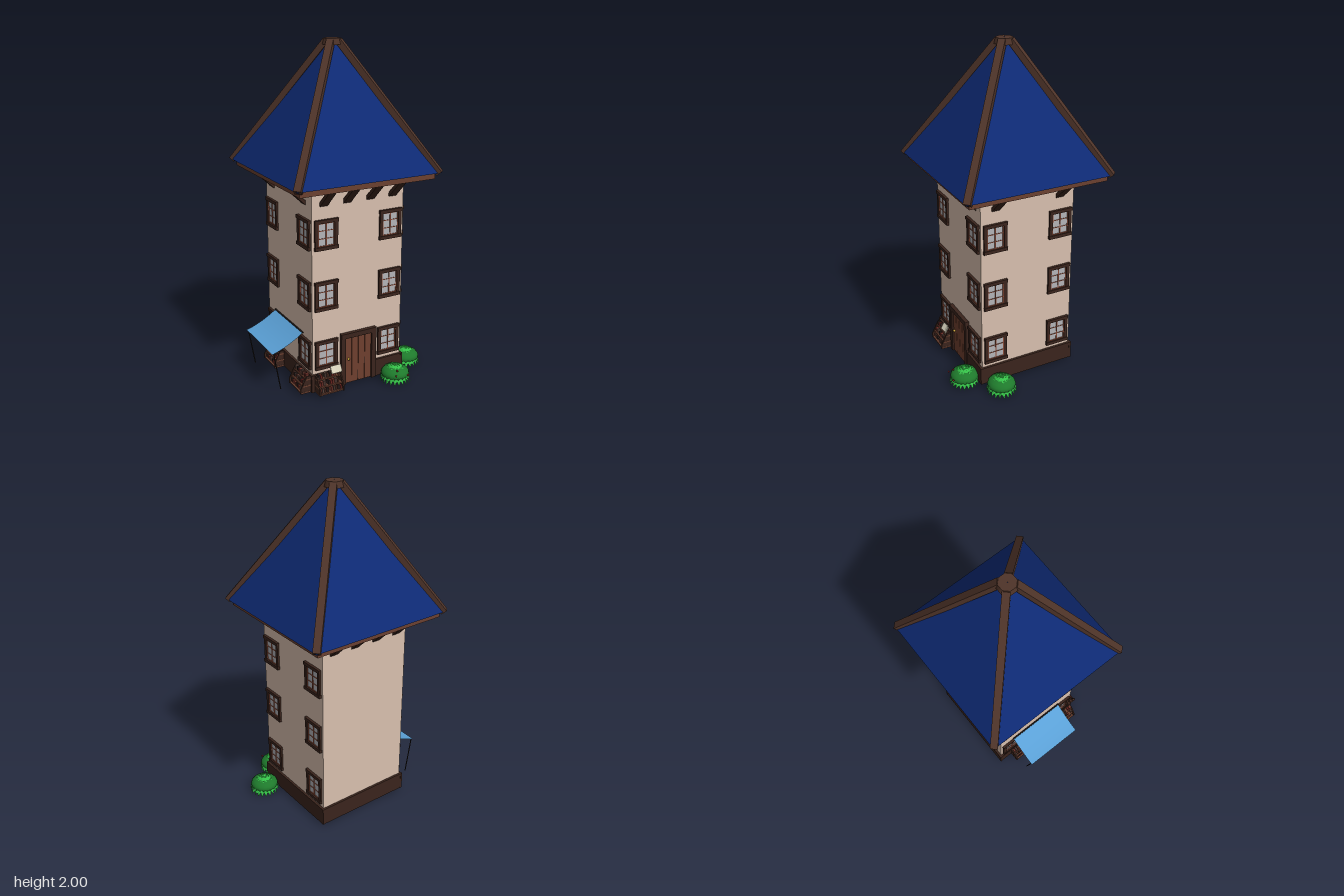
import * as THREE from 'three';
import { mergeGeometries } from 'three/addons/utils/BufferGeometryUtils.js';

const paint = (color, opts = {}) => {
  const m = new THREE.MeshStandardMaterial({ ...opts });
  m.color.set(color);
  return m;
};
const M = {
  wall: paint(0xd8bfae, { flatShading: true, side: THREE.DoubleSide }),
  roof: paint(0x0e2a74, { flatShading: true, side: THREE.DoubleSide }),
  beam: paint(0x4f3429), dark: paint(0x3a241c), fascia: paint(0x6b4030),
  door: paint(0x6e3f2e), glass: paint(0xb4b4b8), sash: paint(0x8a4a36),
  gold: paint(0xc9a13a), cloth: paint(0x5aa0d6, { side: THREE.DoubleSide }),
  leaf: paint(0x35c048, { flatShading: true, side: THREE.DoubleSide }),
  bushCore: paint(0x1f7a2c), black: paint(0x201a18), cream: paint(0xd9d3bd), red: paint(0xa02828),
};
const BOOKS = [0x6b2420, 0x4a2a22, 0x7a3a30, 0x2e2220, 0x57413a].map((c) => paint(c));
const R = 0.297; // half width of the tower
const CX = -0.002, CZ = -0.0105;

function add(parent, name, geo, mat, x = 0, y = 0, z = 0) {
  const mesh = new THREE.Mesh(geo, mat);
  mesh.name = name;
  mesh.position.set(x, y, z);
  parent.add(mesh);
  return mesh;
}
const box = (p, name, mat, w, h, d, x, y, z) => add(p, name, new THREE.BoxGeometry(w, h, d), mat, x, y, z);
function group(parent, name, x = 0, y = 0, z = 0) {
  const g = new THREE.Group();
  g.name = name;
  g.position.set(x, y, z);
  parent.add(g);
  return g;
}
// Round or square bar between two points
function bar(parent, name, mat, a, b, r, sides = 6) {
  const dir = b.clone().sub(a);
  const m = add(parent, name, new THREE.CylinderGeometry(r, r, dir.length(), sides), mat);
  m.position.copy(a).add(b).multiplyScalar(0.5);
  m.quaternion.setFromUnitVectors(new THREE.Vector3(0, 1, 0), dir.normalize());
  return m;
}
const V = (x, y, z) => new THREE.Vector3(x, y, z);

function addWindow(face, x, y) {
  const g = group(face, 'window', x, y, R);
  for (const s of [-1, 1]) {
    box(g, 'windowJamb', M.dark, 0.02, 0.165, 0.018, s * 0.062, 0, 0.003);
    box(g, 'windowRail', M.dark, 0.148, 0.02, 0.024, 0, s * 0.078, 0.004);
    box(g, 'sashSide', M.sash, 0.006, 0.138, 0.01, s * 0.05, 0, 0.002);
    box(g, 'sashRail', M.sash, 0.104, 0.006, 0.01, 0, s * 0.066, 0.002);
    box(g, 'glazingBar', M.sash, 0.1, 0.004, 0.008, 0, s * 0.023, 0.002);
  }
  box(g, 'mullion', M.sash, 0.006, 0.136, 0.01, 0, 0, 0.002);
  box(g, 'glass', M.glass, 0.106, 0.138, 0.006, 0, 0, 0);
}

// Diagonal strut from wall to eave
function addBracket(face, x) {
  const b = box(face, 'eaveBracket', M.dark, 0.048, 0.145, 0.02, x, 1.185, R + 0.048);
  b.rotation.x = Math.atan2(0.1, 0.095);
}

function addDoor(face) {
  const g = group(face, 'door', 0, 0, R);
  for (const s of [-1, 1]) box(g, 'doorJamb', M.dark, 0.03, 0.325, 0.026, s * 0.103, 0.178, 0.008);
  box(g, 'doorLintel', M.dark, 0.236, 0.03, 0.03, 0, 0.327, 0.009);
  box(g, 'doorBacking', M.black, 0.178, 0.298, 0.01, 0, 0.165, 0.002);
  for (let i = 0; i < 4; i++) box(g, 'doorPlank', M.door, 0.041, 0.292, 0.014, (i - 1.5) * 0.044, 0.165, 0.004);
  add(g, 'doorKnob', new THREE.SphereGeometry(0.008, 10, 8), M.gold, -0.068, 0.175, 0.016);
}

// Stepped stall with rows of books
function addBookStand(face, x, seed) {
  const g = group(face, 'bookStand', x, 0.018, R + 0.01);
  const side = new THREE.Shape([[0, 0], [0.068, 0], [0.068, 0.03], [0.03, 0.105], [0, 0.105]].map((p) => new THREE.Vector2(...p)));
  const sideGeo = new THREE.ExtrudeGeometry(side, { depth: 0.008, bevelEnabled: false });
  for (const s of [-0.08, 0.072]) add(g, 'standSide', sideGeo, M.dark, s + 0.008, 0, 0).rotation.y = -Math.PI / 2;
  box(g, 'standBack', M.dark, 0.15, 0.1, 0.006, 0, 0.05, 0.003);
  [0.066, 0.054, 0.036].forEach((d, row) => {
    const y = 0.006 + row * 0.04;
    box(g, 'standShelf', M.fascia, 0.162, 0.008, d, 0, y, d / 2);
    for (let i = 0; i < 10; i++) {
      const k = (i * 7 + row * 3 + seed) % 5;
      if ((i + row + seed) % 6 === 0) continue;
      const h = 0.02 + k * 0.002;
      box(g, 'book', BOOKS[k], 0.011, h, d * 0.6, -0.066 + i * 0.0145, y + 0.004 + h / 2, d * 0.55);
    }
  });
  return g;
}

function addAwning(face) {
  const g = group(face, 'awning', -0.005, 0, 0);
  const geo = new THREE.PlaneGeometry(0.38, 1, 1, 8);
  const p = geo.attributes.position;
  for (let i = 0; i < p.count; i++) {
    const t = 0.5 - p.getY(i);
    p.setXYZ(i, p.getX(i), 0.345 - 0.095 * t - 0.045 * t * (1 - t), R + 0.004 + 0.197 * t);
  }
  geo.computeVertexNormals();
  add(g, 'awningCloth', geo, M.cloth);
  bar(g, 'awningRod', M.black, V(-0.19, 0.346, R + 0.005), V(0.19, 0.346, R + 0.005), 0.005);
  for (const s of [-0.186, 0.186]) bar(g, 'awningPole', M.black, V(s, 0.018, 0.448), V(s, 0.25, 0.488), 0.0035);
}

// Domed bush covered with overlapping pointed leaves
function addBush(parent, x, z, turn) {
  const g = group(parent, 'bush', x, 0, z);
  g.rotation.y = turn;
  const core = add(g, 'bushCore', new THREE.SphereGeometry(0.085, 16, 10), M.bushCore, 0, 0.05, 0);
  core.scale.y = 0.55;
  const leaves = [];
  for (let row = 0; row < 7; row++) {
    const a = row * 0.25 + 0.06; // angle from the crown
    const n = Math.max(4, Math.round(22 * Math.sin(a)));
    for (let i = 0; i < n; i++) {
      const leaf = new THREE.ConeGeometry(0.017, 0.042, 4);
      leaf.scale(1, 1, 0.3);
      leaf.rotateX(Math.PI / 2 + a * 0.6 + 0.1 + 0.08 * ((i * 5 + row) % 3));
      leaf.translate(0, 0.02 + 0.078 * Math.cos(a), 0.083 * Math.sin(a));
      leaf.rotateY(((i + (row % 2) * 0.5) / n) * Math.PI * 2);
      leaves.push(leaf);
    }
  }
  add(g, 'bushLeaves', mergeGeometries(leaves), M.leaf);
}

export function createModel() {
  const model = new THREE.Group();
  model.name = 'towerHouse';

  // Walls: square tube, open below
  const tower = group(model, 'tower', CX, 0, CZ);
  add(tower, 'walls', new THREE.CylinderGeometry(R * Math.SQRT2, R * Math.SQRT2, 1.22, 4, 1, true), M.wall, 0, 0.63, 0)
    .rotation.y = Math.PI / 4;

  // Four sides in the order front, left (+x), back, right (-x)
  const faces = ['front', 'left', 'back', 'right'].map((n, i) => {
    const f = group(tower, n + 'Side');
    f.rotation.y = i * Math.PI / 2;
    return f;
  });
  faces.forEach((f, i) => {
    const spots = i % 2 ? [-0.204, 0.204] : [-0.222, -0.075, 0.075, 0.222];
    spots.forEach((x) => addBracket(f, x));
    if (i !== 2) for (const y of [0.238, 0.602, 0.965]) for (const s of [-1, 1]) addWindow(f, s * 0.209, y);
    // Plinth, broken at the front by the door
    if (i) box(f, 'plinth', M.dark, 0.624, 0.108, 0.014, 0, 0.07, R + 0.007);
    else for (const s of [-1, 1]) box(f, 'plinth', M.dark, 0.2, 0.108, 0.014, s * 0.211, 0.07, R + 0.007);
  });
  addDoor(faces[0]);
  addAwning(faces[3]);
  addBookStand(faces[3], -0.14, 1);
  addBookStand(faces[3], 0.22, 3);

  // Open book lying on the front stand
  const stand = addBookStand(faces[0], -0.21, 2);
  for (const s of [-1, 1]) {
    const page = box(stand, 'openBookPage', M.cream, 0.036, 0.045, 0.006, 0.046 + s * 0.017, 0.126, 0.026);
    page.rotation.set(-0.5, s * -0.25, 0);
  }

  // Roof
  const roof = group(model, 'roof', -0.004, 0, -0.016);
  box(roof, 'eaves', M.fascia, 0.856, 0.04, 0.856, 0, 1.25, 0);
  box(roof, 'soffit', M.dark, 0.8, 0.006, 0.8, 0, 1.229, 0);
  add(roof, 'roofCovering', new THREE.ConeGeometry(0.456 * Math.SQRT2, 0.735, 4, 1, true), M.roof, 0, 1.6355, 0)
    .rotation.y = Math.PI / 4;
  for (let i = 0; i < 4; i++) {
    const arm = group(roof, 'hip');
    arm.rotation.y = Math.PI / 4 + i * Math.PI / 2;
    const run = 0.42 * Math.SQRT2, rise = 0.72;
    const hip = box(arm, 'hipBeam', M.beam, 0.042, Math.hypot(run, rise), 0.036, 0, 1.626, 0.236 * Math.SQRT2);
    hip.rotation.x = -Math.atan2(run, rise);
  }
  add(roof, 'roofCap', new THREE.CylinderGeometry(0.05, 0.058, 0.035, 8), M.beam, 0, 1.9825, 0)
    .rotation.y = Math.PI / 8;

  // Bushes at the front left corner, with a few berries
  addBush(model, 0.215, 0.368, 0);
  addBush(model, 0.39, 0.208, 0.7);
  for (const [x, y, z] of [[0.17, 0.07, 0.45], [0.19, 0.09, 0.43], [0.25, 0.06, 0.455]]) {
    add(model, 'berry', new THREE.SphereGeometry(0.006, 8, 6), M.red, x, y, z);
  }
  return model;
}
